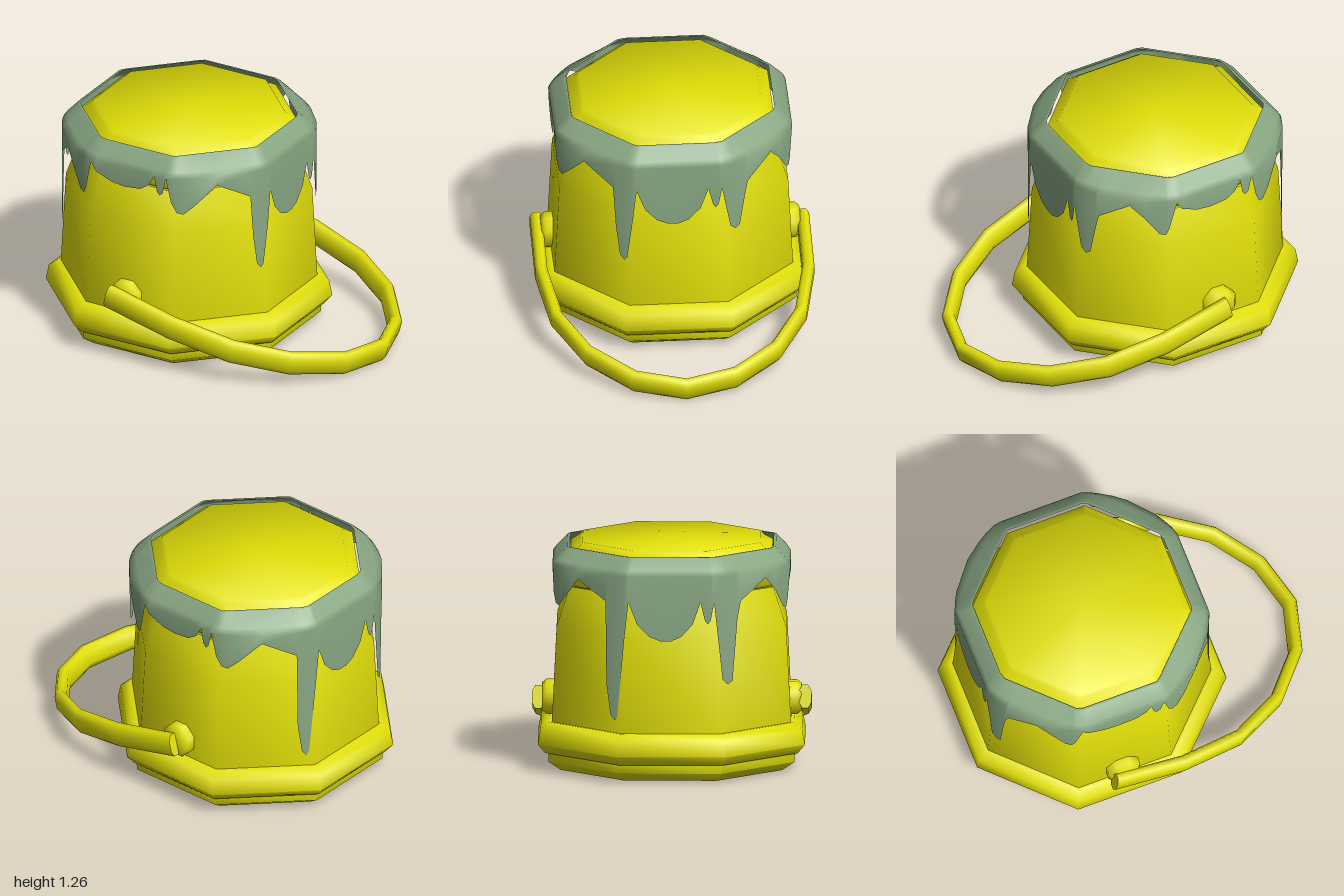
import * as THREE from 'three';
import { toCreasedNormals } from 'three/addons/utils/BufferGeometryUtils.js';

const CX = -0.265;                        // bucket axis
const CORNER = 1 / Math.cos(Math.PI / 8); // flat radius -> corner radius

// Eight-sided turned shape; profile radii are measured to the flats
function octagonLathe(profile) {
  const pts = profile.map(([r, y]) => new THREE.Vector2(r * CORNER, y));
  return toCreasedNormals(new THREE.LatheGeometry(pts, 8, Math.PI / 8), 1.1);
}

// Closed skin between equal-length rings of points
function skin(rows) {
  const n = rows[0].length, index = [];
  for (let i = 0; i < rows.length - 1; i++) {
    for (let j = 0; j < n; j++) {
      const a = i * n + j, b = i * n + (j + 1) % n, c = a + n, d = b + n;
      index.push(a, c, b, b, c, d);
    }
  }
  const g = new THREE.BufferGeometry();
  g.setAttribute('position', new THREE.Float32BufferAttribute(rows.flat(2), 3));
  g.setIndex(index);
  g.computeVertexNormals();
  return g;
}

// Lower edge of the paint over half a turn: [degrees around from the front, height]
const DRIPS = [
  [-42, 1.11], [-35, 1.03], [-28.5, 0.93], [-25.5, 0.92], [-24, 0.96], [-20.5, 1.13],
  [-18, 1.08], [-10, 1.04], [-3, 1.03], [6, 1.04], [11, 1.08], [13.5, 1.14],
  [15, 1.05], [16.5, 1.03], [18, 1.05], [19.5, 1.14], [22, 1.0], [24.5, 0.94],
  [27.5, 0.93], [32.5, 0.98], [43, 1.1], [59, 1.0], [60.5, 0.75], [62.5, 0.58],
  [64.7, 0.55], [66, 0.57], [68.5, 0.8], [70.3, 1.0], [74, 0.88], [79.6, 0.81],
  [85, 0.785], [90, 0.785], [95, 0.81], [100.4, 0.88], [104, 1.0], [106, 0.9],
  [107.3, 0.88], [108.5, 0.9], [110, 1.0], [114, 0.75], [116.7, 0.72], [119, 0.74],
  [121.5, 0.9], [123.3, 1.0]
];

// The second half turn repeats the first, with its two long drips running lower
function lowerDrip([deg, y]) {
  if (deg > 60 && deg < 67) return [deg + 179, y - 0.21];
  if (deg > 113 && deg < 120) return [deg + 180, y - 0.18];
  return [deg + 180, y];
}

function paintGeometry() {
  const columns = [...DRIPS, ...DRIPS.map(lowerDrip)];
  // bulge 0 follows the octagon, bulge 1 swells out over the diagonal faces
  const row = (flat, bulge, height) => columns.map(([deg, edge]) => {
    const a = THREE.MathUtils.degToRad(deg), s = Math.sin(a), c = Math.cos(a);
    const local = a - Math.round(a / (Math.PI / 4)) * Math.PI / 4;
    const swollen = Math.min(flat / Math.max(Math.abs(s), Math.abs(c)), flat * 1.07);
    const r = THREE.MathUtils.lerp(flat / Math.cos(local), swollen, bulge);
    return [r * s, height ?? edge, r * c];
  });
  return skin([
    row(0.56, 0, 1.24), row(0.575, 0, 1.24), row(0.635, 0.5, 1.175), row(0.655, 1, 1.145), row(0.654, 1)
  ]);
}

function handleGeometry() {
  const path = [
    [-0.355, 0.735], [0.05, 0.735], [0.4, 0.675], [0.68, 0.52], [0.885, 0.28], [0.96, 0],
    [0.885, -0.275], [0.7, -0.51], [0.43, -0.67], [0.1, -0.735], [-0.3, -0.735]
  ].map(([x, z]) => new THREE.Vector3(x, 0.37 - 0.242 * (x + 0.3), z));
  const up = new THREE.Vector3(0.235, 0.972, 0);
  // rounded strap section: across, up
  const half = [[0.034, 0.033], [0.016, 0.065], [-0.016, 0.065], [-0.034, 0.033]];
  const section = [...half, ...half.map(([s, u]) => [-s, -u])];
  const last = path.length - 1;
  const rows = path.map((p, i) => {
    const t = path[Math.min(i + 1, last)].clone().sub(path[Math.max(i - 1, 0)]).normalize();
    const side = new THREE.Vector3().crossVectors(t, up).normalize();
    return section.map(([s, u]) => p.clone().addScaledVector(side, s).addScaledVector(up, u).toArray());
  });
  // collapse the ends into caps
  const cap = p => section.map(() => p.toArray());
  return toCreasedNormals(skin([cap(path[0]), ...rows, cap(path[last])]), 1.2);
}

export function createModel() {
  const yellow = new THREE.MeshStandardMaterial({ color: 0xe1df08, side: THREE.DoubleSide });
  yellow.name = 'bucketYellow';
  const green = new THREE.MeshStandardMaterial({ color: 0x88a682, side: THREE.DoubleSide });
  green.name = 'paintGreen';

  const model = new THREE.Group();
  model.name = 'upturnedPaintBucket';
  const add = (name, geometry, material, x = 0, y = 0, z = 0) => {
    const mesh = new THREE.Mesh(geometry, material);
    mesh.name = name;
    mesh.position.set(x, y, z);
    model.add(mesh);
  };

  // Hollow wall, open at the bottom, with the raised base on top
  add('bucketBody', octagonLathe([
    [0, 1.2], [0.5, 1.2], [0.57, 0.8], [0.585, 0.06],
    [0.64, 0.06], [0.658, 0.27], [0.632, 0.8], [0.56, 1.02]
  ]), yellow, CX);
  add('raisedBase', octagonLathe([
    [0.545, 1.02], [0.562, 1.04], [0.555, 1.21], [0.505, 1.24], [0.49, 1.262], [0, 1.262]
  ]), yellow, CX);

  // Mouth ring and the wider flange above it
  add('mouthRing', octagonLathe([
    [0.585, 0.06], [0.57, 0.03], [0.58, 0], [0.61, 0], [0.677, 0.05], [0.677, 0.11]
  ]), yellow, CX);
  add('rimFlange', octagonLathe([
    [0.64, 0.1], [0.695, 0.1], [0.735, 0.15], [0.72, 0.235], [0.675, 0.27], [0.64, 0.27]
  ]), yellow, CX);

  // Paint running down from the top edge
  add('drippingPaint', paintGeometry(), green, CX);

  // Handle and its two pivots
  add('handle', handleGeometry(), yellow);
  for (const s of [1, -1]) {
    const pivot = octagonLathe([[0.092, 0], [0.092, 0.065], [0.072, 0.09], [0, 0.09]]);
    pivot.rotateX(s * Math.PI / 2);
    add(s > 0 ? 'frontPivot' : 'backPivot', pivot, yellow, -0.28, 0.37, s * 0.625);
  }
  return model;
}
